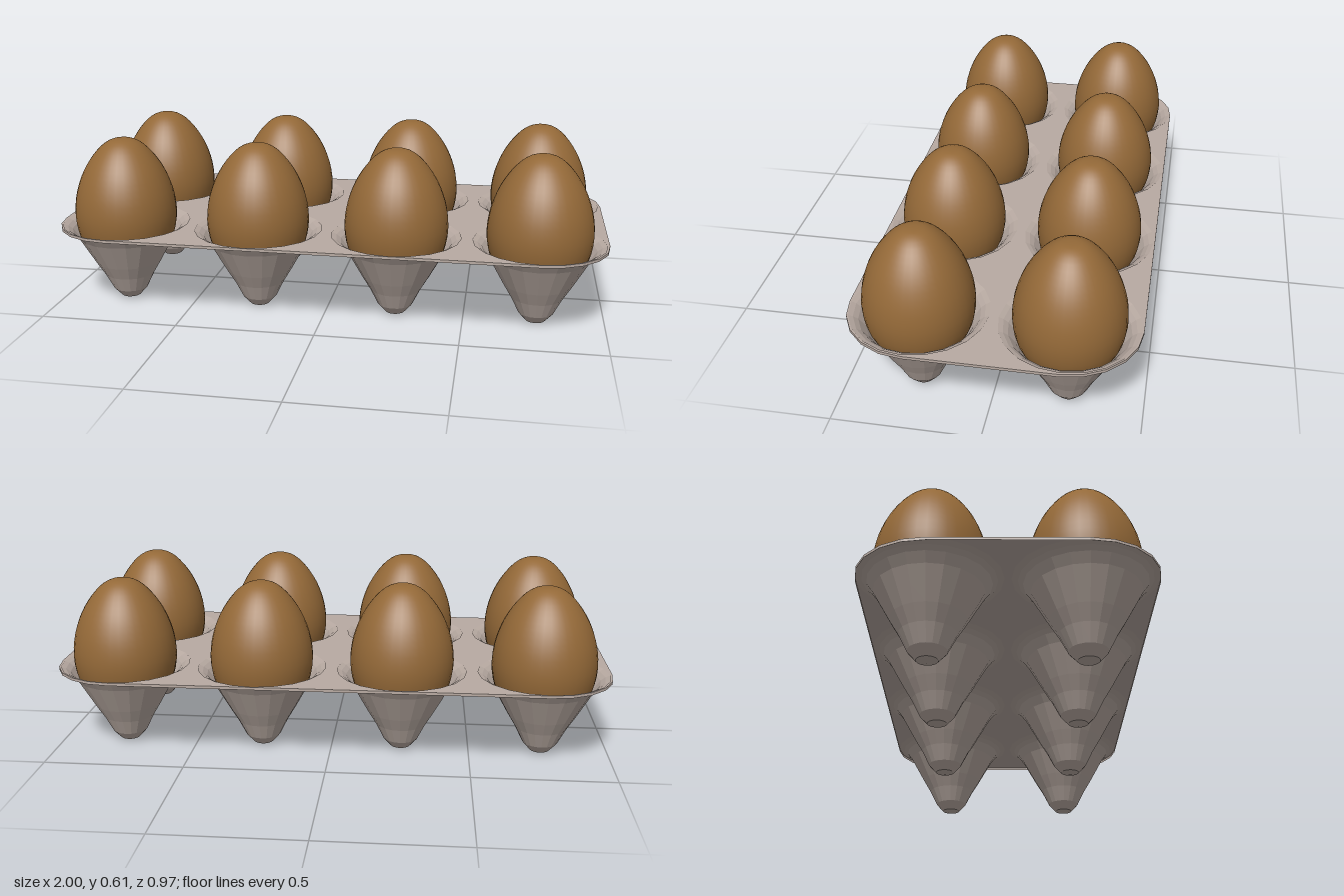
import * as THREE from 'three';

const SIDES = 20, CUP_R = 0.236, TOP = 0.3;
const XS = [-0.757, -0.253, 0.253, 0.757], ZS = [-0.247, 0.247];
const v = (x, y) => new THREE.Vector2(x, y);

// Thin top sheet: rounded rectangle with one hole per cup
function sheetGeometry() {
  const cx = 0.757, cz = 0.243, r = 0.241;
  const outline = [];
  [[1, 1], [-1, 1], [-1, -1], [1, -1]].forEach(([sx, sz], q) => {
    for (let i = 0; i <= 5; i++) {
      const a = (q + i / 5) * Math.PI / 2;
      outline.push(v(sx * cx + r * Math.cos(a), sz * cz + r * Math.sin(a)));
    }
  });
  const shape = new THREE.Shape(outline);
  for (const x of XS) for (const z of ZS) {
    const ring = [];
    for (let i = 0; i < SIDES; i++) {
      const a = -i / SIDES * Math.PI * 2;
      ring.push(v(x + 0.232 * Math.cos(a), z + 0.232 * Math.sin(a)));
    }
    shape.holes.push(new THREE.Path(ring));
  }
  return new THREE.ShapeGeometry(shape).rotateX(-Math.PI / 2);
}

export function createModel() {
  const group = new THREE.Group();
  const pulp = new THREE.MeshStandardMaterial({ color: 0xb8aaa2, side: THREE.DoubleSide, flatShading: true });
  pulp.name = 'grey pulp';
  const shell = new THREE.MeshStandardMaterial({ color: 0x946938 });
  shell.name = 'brown eggshell';

  const add = (name, geo, mat, x, y, z) => {
    const m = new THREE.Mesh(geo, mat);
    m.name = name;
    m.position.set(x, y, z);
    group.add(m);
  };

  // Cup: flared rim tapering to a rounded foot
  const cup = new THREE.LatheGeometry([
    v(0, 0.002), v(0.035, 0.011), v(0.063, 0.042), v(0.092, 0.1), v(0.122, 0.15),
    v(0.15, 0.2), v(0.178, 0.25), v(0.2, 0.28), v(0.216, 0.292), v(CUP_R, TOP),
  ], SIDES);

  // Egg: blunt half resting in the cup, longer half on top
  const eggCurve = new THREE.SplineCurve([
    v(0, 0.12), v(0.06, 0.131), v(0.11, 0.162), v(0.15, 0.21), v(0.174, 0.26), v(0.185, 0.33),
    v(0.179, 0.4), v(0.162, 0.46), v(0.139, 0.51), v(0.109, 0.555), v(0.074, 0.592),
    v(0.037, 0.613), v(0, 0.616),
  ]);
  const eggPoints = eggCurve.getPoints(28).map(p => v(Math.max(p.x, 0), p.y));
  const egg = new THREE.LatheGeometry(eggPoints, 36);

  add('traySheet', sheetGeometry(), pulp, 0, TOP, 0);
  for (const x of XS) for (const z of ZS) {
    add('cup', cup, pulp, x, 0, z);
    add('egg', egg, shell, x, 0, z);
  }

  // Thin lip hanging from the sheet edge
  const edge = [];
  for (let q = 0; q < 4; q++) for (let i = 0; i <= 5; i++) {
    const a = (q + i / 5) * Math.PI / 2;
    const sx = q === 0 || q === 3 ? 1 : -1, sz = q < 2 ? 1 : -1;
    edge.push([sx * 0.757 + 0.241 * Math.cos(a), sz * 0.243 + 0.241 * Math.sin(a)]);
  }
  const pos = [], index = [];
  edge.forEach(([x, z], i) => {
    const a = i * 2, b = ((i + 1) % edge.length) * 2;
    pos.push(x, 0, z, x, -0.01, z);
    index.push(a, b, a + 1, b, b + 1, a + 1);
  });
  const lip = new THREE.BufferGeometry();
  lip.setAttribute('position', new THREE.Float32BufferAttribute(pos, 3));
  lip.setIndex(index);
  lip.computeVertexNormals();
  add('trayLip', lip, pulp, 0, TOP, 0);

  return group;
}
